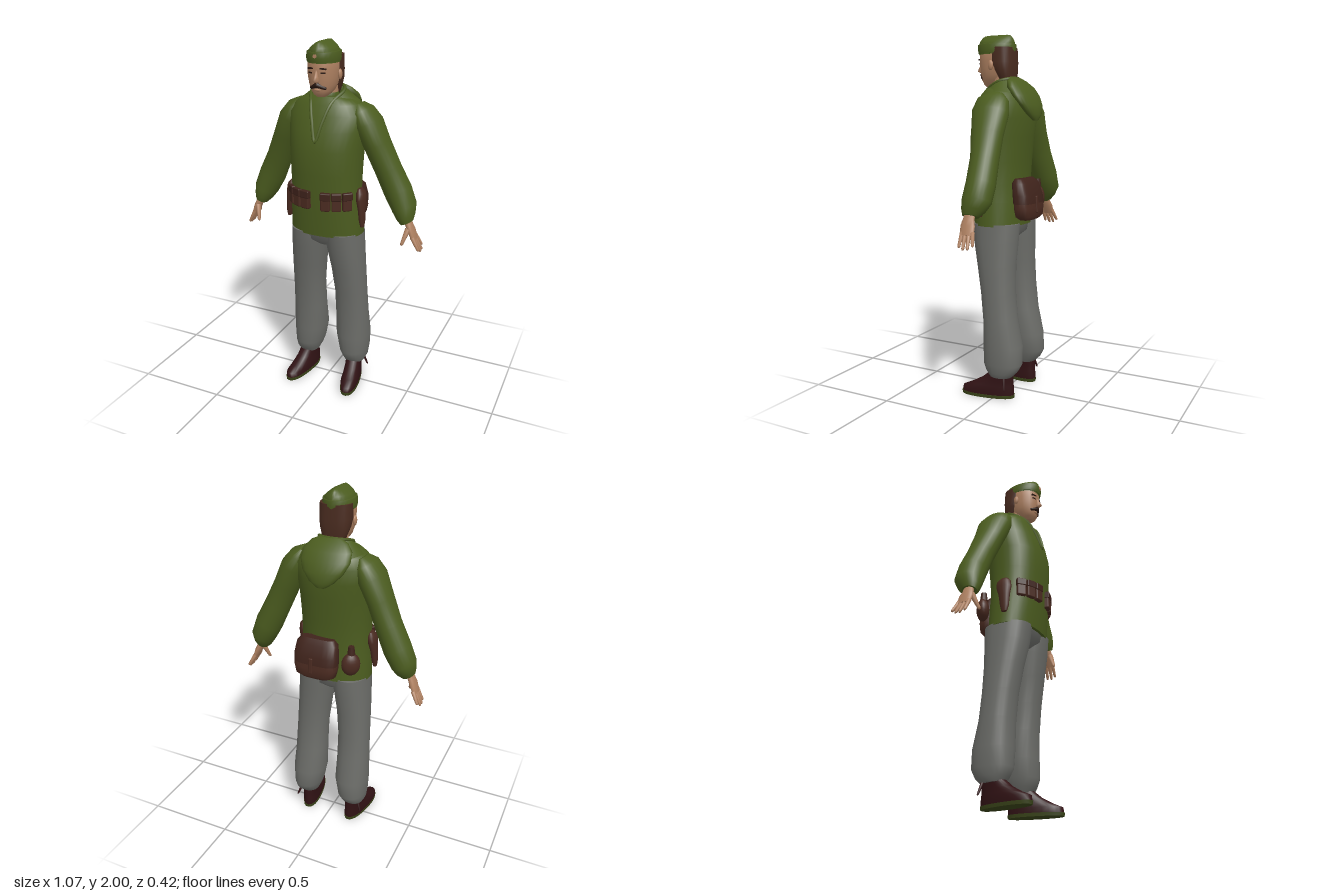
import * as THREE from 'three';
import { RoundedBoxGeometry } from 'three/addons/geometries/RoundedBoxGeometry.js';

const mat = (name, color, side = THREE.FrontSide) => {
  const m = new THREE.MeshStandardMaterial({ color, side });
  m.name = name;
  return m;
};
const V = (x, y, z) => new THREE.Vector3(x, y, z);

// Skin closed rows of points, listed from bottom to top; optional end caps
function skin(rows, caps = true) {
  const n = rows[0].length, pos = [], idx = [];
  rows.forEach(r => r.forEach(p => pos.push(p.x, p.y, p.z)));
  for (let i = 0; i < rows.length - 1; i++) {
    for (let j = 0; j < n; j++) {
      const a = i * n + j, b = i * n + (j + 1) % n;
      idx.push(a, a + n, b, b, a + n, b + n);
    }
  }
  if (caps) [rows[0], rows[rows.length - 1]].forEach((r, top) => {
    const base = pos.length / 3, c = V(0, 0, 0);
    r.forEach(p => { pos.push(p.x, p.y, p.z); c.addScaledVector(p, 1 / n); });
    pos.push(c.x, c.y, c.z);
    for (let j = 0; j < n; j++) {
      const a = base + j, b = base + (j + 1) % n;
      if (top) idx.push(base + n, b, a); else idx.push(base + n, a, b);
    }
  });
  const g = new THREE.BufferGeometry();
  g.setAttribute('position', new THREE.Float32BufferAttribute(pos, 3));
  g.setIndex(idx);
  g.computeVertexNormals();
  return g;
}

// Rings are [x, y, z, radius across, radius in z]; tilt leans them, p < 1 squares them
function loft(rings, { tilt = 0, p = 1, n = 24 } = {}) {
  const pw = v => Math.sign(v) * Math.pow(Math.abs(v), p);
  return skin(rings.map(([x, y, z, ru, rv]) => Array.from({ length: n }, (_, j) => {
    const a = j / n * Math.PI * 2, u = ru * pw(Math.cos(a));
    return V(x + u * Math.cos(tilt), y + u * Math.sin(tilt), z + rv * pw(Math.sin(a)));
  })));
}

// Tapered rod with a rounded tip from a to b
function rod(a, b, ra, rb) {
  const d = b.clone().sub(a), len = d.length();
  const prof = [[0, 0], [ra, 0], [rb, len * 0.88], [rb * 0.65, len * 0.97], [0, len]];
  const g = new THREE.LatheGeometry(prof.map(q => new THREE.Vector2(...q)), 8);
  g.applyQuaternion(new THREE.Quaternion().setFromUnitVectors(V(0, 1, 0), d.normalize()));
  return g.translate(a.x, a.y, a.z);
}

// Mirror a geometry in x and restore its winding
function mirror(geo) {
  const g = geo.index ? geo.toNonIndexed() : geo.clone();
  g.scale(-1, 1, 1);
  for (const k in g.attributes) {
    const { array: arr, itemSize: s } = g.attributes[k];
    for (let t = 0; t < arr.length; t += 3 * s) {
      for (let c = 0; c < s; c++) {
        const tmp = arr[t + c];
        arr[t + c] = arr[t + 2 * s + c];
        arr[t + 2 * s + c] = tmp;
      }
    }
  }
  return g;
}

export function createModel() {
  const root = new THREE.Group();
  root.name = 'soldier';
  const jacket = mat('jacketGreen', 0x4b5c1f, THREE.DoubleSide);
  const grey = mat('trouserGrey', 0x6c6d69);
  const leather = mat('leatherBrown', 0x4a2a20);
  const flapMat = mat('flapBrown', 0x3f231b);
  const bootMat = mat('bootMaroon', 0x301214);
  const soleMat = mat('soleGreen', 0x3a4419);
  const skinMat = mat('skin', 0xb08262);
  const hair = mat('hairBrown', 0x4a2c20);
  const dark = mat('whiskerBrown', 0x29170f);
  const add = (name, g, m) => {
    const mesh = new THREE.Mesh(g, m);
    mesh.name = name;
    root.add(mesh);
  };
  const pair = (name, g, m) => {
    add(name + 'Left', g, m);
    add(name + 'Right', mirror(g), m);
  };

  // Jacket body
  add('jacketBody', loft([
    [0, 0.97, 0.027, 0.208, 0.14], [0, 1.1, 0.035, 0.203, 0.145], [0, 1.2, 0.04, 0.195, 0.145],
    [0, 1.32, 0.04, 0.197, 0.155], [0, 1.45, 0.035, 0.203, 0.163], [0, 1.55, 0.018, 0.213, 0.157],
    [0, 1.63, 0.007, 0.218, 0.14], [0, 1.68, 0.008, 0.18, 0.117], [0, 1.705, 0.015, 0.14, 0.095],
    [0, 1.72, 0.025, 0.09, 0.072]], { p: 0.9, n: 32 }), jacket);

  // Sleeves
  pair('sleeve', loft([
    [0.447, 1.06, -0.018, 0.036, 0.045], [0.437, 1.09, -0.028, 0.053, 0.065],
    [0.422, 1.135, -0.04, 0.068, 0.08], [0.382, 1.22, -0.042, 0.077, 0.078],
    [0.325, 1.34, -0.032, 0.072, 0.077], [0.268, 1.47, -0.016, 0.07, 0.09],
    [0.218, 1.58, -0.008, 0.074, 0.105], [0.185, 1.645, -0.005, 0.055, 0.09],
    [0.165, 1.68, -0.005, 0.02, 0.05]], { tilt: 0.43 }), jacket);

  // Standing collar, its edge, and the folded hood
  const loop = pts => new THREE.CatmullRomCurve3(
    [...pts, ...pts.slice(1, -1).reverse().map(([x, y, z]) => [-x, y, z])].map(q => V(...q)), true);
  const base = loop([[0, 1.47, 0.185], [0.05, 1.58, 0.15], [0.12, 1.67, 0.1], [0.165, 1.69, -0.01],
    [0.1, 1.68, -0.11], [0, 1.67, -0.13]]);
  const rim = loop([[0, 1.5, 0.19], [0.03, 1.6, 0.16], [0.058, 1.69, 0.112], [0.09, 1.745, 0.02],
    [0.06, 1.762, -0.035], [0, 1.765, -0.05]]);
  // Listed top first because the loops run clockwise
  add('collar', skin([rim.getPoints(48).slice(0, 48), base.getPoints(48).slice(0, 48)], false), jacket);
  add('collarEdge', new THREE.TubeGeometry(rim, 64, 0.009, 6, true), jacket);
  add('hood', loft([
    [0, 1.54, -0.165, 0.025, 0.012], [0, 1.57, -0.158, 0.07, 0.03], [0, 1.62, -0.138, 0.115, 0.045],
    [0, 1.67, -0.108, 0.138, 0.052], [0, 1.715, -0.078, 0.133, 0.052], [0, 1.75, -0.053, 0.1, 0.036],
    [0, 1.768, -0.045, 0.06, 0.014]]), jacket);
  add('jumperNeck', loft([[0, 1.62, 0.03, 0.072, 0.068], [0, 1.72, 0.035, 0.067, 0.063],
    [0, 1.738, 0.036, 0.06, 0.056]]), jacket);

  // Trousers
  add('trouserSeat', loft([[0, 0.89, 0.02, 0.07, 0.07], [0, 0.93, 0.022, 0.17, 0.12],
    [0, 1.0, 0.025, 0.195, 0.133]]), grey);
  pair('trouserLeg', loft([
    [0.15, 0.125, -0.035, 0.058, 0.065], [0.15, 0.155, -0.04, 0.073, 0.09],
    [0.145, 0.2, -0.042, 0.083, 0.112], [0.138, 0.3, -0.04, 0.097, 0.11],
    [0.135, 0.45, -0.022, 0.093, 0.095], [0.132, 0.6, -0.007, 0.09, 0.096],
    [0.122, 0.75, 0.008, 0.094, 0.108], [0.108, 0.88, 0.018, 0.101, 0.126],
    [0.1, 0.98, 0.023, 0.103, 0.135]], { p: 0.9 }), grey);

  // Boots, toes turned out
  const foot = g => g.rotateY(0.17).translate(0.152, 0, 0);
  pair('boot', foot(loft([
    [0, 0.018, 0.045, 0.05, 0.152], [0, 0.045, 0.043, 0.051, 0.15], [0, 0.068, 0.018, 0.047, 0.122],
    [0, 0.1, -0.01, 0.044, 0.092], [0, 0.14, -0.033, 0.045, 0.067], [0, 0.175, -0.036, 0.047, 0.062]],
    { p: 0.85 })), bootMat);
  pair('sole', foot(loft([[0, 0, 0.045, 0.05, 0.153], [0, 0.018, 0.045, 0.052, 0.156]], { p: 0.85 })), soleMat);
  pair('bootTab', rod(V(0.19, 0.13, -0.07), V(0.215, 0.06, -0.085), 0.009, 0.005), bootMat);

  // Hands
  pair('palm', loft([[0.494, 0.968, -0.022, 0.012, 0.04], [0.476, 1.015, -0.018, 0.018, 0.042],
    [0.462, 1.045, -0.016, 0.019, 0.033], [0.445, 1.09, -0.018, 0.02, 0.027]], { tilt: 0.38, n: 12 }), skinMat);
  for (let i = 0; i < 4; i++) {
    const z = 0.008 - i * 0.02, drop = [0.01, 0, 0.003, 0.02][i];
    pair('finger' + (i + 1), rod(V(0.486, 0.985, z), V(0.531 - drop / 2, 0.9 + drop, z * 1.3 - 0.004), 0.012, 0.008), skinMat);
  }
  pair('thumb', rod(V(0.462, 1.03, 0.008), V(0.438, 0.943, 0.043), 0.016, 0.009), skinMat);

  // Head
  add('neck', loft([[0, 1.66, 0.028, 0.058, 0.055], [0, 1.79, 0.04, 0.058, 0.06]]), skinMat);
  add('head', loft([
    [0, 1.722, 0.1, 0.024, 0.03], [0, 1.735, 0.093, 0.042, 0.052], [0, 1.755, 0.082, 0.058, 0.071],
    [0, 1.785, 0.074, 0.07, 0.086], [0, 1.82, 0.072, 0.077, 0.093], [0, 1.86, 0.07, 0.08, 0.098],
    [0, 1.9, 0.068, 0.081, 0.1], [0, 1.94, 0.068, 0.07, 0.09]], { p: 0.92 }), skinMat);
  add('hair', loft([
    [0, 1.725, -0.002, 0.05, 0.028], [0, 1.77, 0.002, 0.068, 0.04], [0, 1.81, 0.014, 0.08, 0.054],
    [0, 1.85, 0.025, 0.085, 0.067], [0, 1.93, 0.03, 0.084, 0.068]], { p: 0.75 }), hair);
  pair('ear', new THREE.SphereGeometry(1, 10, 8).scale(0.01, 0.027, 0.016).translate(0.086, 1.835, 0.064), skinMat);
  add('nose', loft([[0, 1.8, 0.162, 0.01, 0.012], [0, 1.81, 0.168, 0.018, 0.024],
    [0, 1.83, 0.164, 0.011, 0.018], [0, 1.862, 0.158, 0.007, 0.01]], { n: 10 }), skinMat);
  pair('moustache', rod(V(-0.002, 1.79, 0.16), V(0.044, 1.768, 0.138), 0.015, 0.009), dark);
  add('lowerLip', new THREE.SphereGeometry(1, 10, 6).scale(0.02, 0.007, 0.01).translate(0, 1.762, 0.151), skinMat);
  pair('eye', new THREE.BoxGeometry(0.024, 0.007, 0.008).rotateY(0.3).translate(0.033, 1.848, 0.157), dark);
  pair('eyebrow', new THREE.BoxGeometry(0.034, 0.008, 0.009).rotateZ(-0.1).rotateY(0.3).translate(0.034, 1.87, 0.159), dark);

  // Folded cap with turned-up band and badge
  add('cap', loft([
    [0, 1.895, 0.069, 0.083, 0.103], [0, 1.945, 0.07, 0.08, 0.107], [0, 1.968, 0.07, 0.061, 0.102],
    [0, 1.988, 0.068, 0.034, 0.09], [0, 1.997, 0.066, 0.015, 0.078], [0, 2, 0.066, 0.004, 0.06]]), jacket);
  add('capBand', loft([[0, 1.9, 0.069, 0.085, 0.107], [0, 1.92, 0.07, 0.087, 0.111],
    [0, 1.948, 0.07, 0.083, 0.111], [0, 1.951, 0.07, 0.078, 0.105]]), jacket);
  add('capBadge', new THREE.CylinderGeometry(0.011, 0.011, 0.006, 5).rotateX(Math.PI / 2).translate(0, 1.932, 0.182), skinMat);

  // Front pouches, wrapped around the waist
  [1.28, 0.98, 0.66].forEach((a, i) => {
    const turn = Math.atan2(Math.cos(a) / 0.197, Math.sin(a) / 0.145);
    const place = g => g.rotateY(turn).translate(0.197 * Math.cos(a), 1.18, 0.04 + 0.145 * Math.sin(a));
    pair('pouch' + (i + 1), place(new RoundedBoxGeometry(0.052, 0.1, 0.036, 2, 0.008).translate(0, 0, 0.004)), leather);
    pair('pouchFlap' + (i + 1), place(new RoundedBoxGeometry(0.056, 0.042, 0.04, 2, 0.006).translate(0, 0.031, 0.005)), flapMat);
  });

  // Side holsters
  pair('holster', loft([
    [0.221, 1.025, 0.062, 0.01, 0.016], [0.219, 1.06, 0.062, 0.016, 0.026], [0.214, 1.13, 0.058, 0.02, 0.034],
    [0.208, 1.18, 0.052, 0.025, 0.046], [0.205, 1.215, 0.05, 0.024, 0.042], [0.2, 1.238, 0.05, 0.01, 0.022]],
    { n: 16 }), leather);

  // Rear pack with flap and strap
  add('pack', loft([
    [0.04, 1.005, -0.15, 0.08, 0.032], [0.04, 1.025, -0.15, 0.115, 0.048], [0.04, 1.07, -0.148, 0.125, 0.052],
    [0.04, 1.14, -0.14, 0.122, 0.048], [0.04, 1.2, -0.125, 0.113, 0.04], [0.04, 1.222, -0.118, 0.095, 0.024]],
    { p: 0.65 }), leather);
  add('packFlap', loft([[0.04, 1.095, -0.146, 0.126, 0.054], [0.04, 1.14, -0.141, 0.126, 0.053],
    [0.04, 1.203, -0.126, 0.117, 0.044], [0.04, 1.228, -0.118, 0.095, 0.025]], { p: 0.65 }), flapMat);
  add('packStrap', new RoundedBoxGeometry(0.022, 0.09, 0.012, 2, 0.004).rotateX(0.06).translate(0.05, 1.09, -0.2), leather);

  // Canteen
  add('canteen', new THREE.SphereGeometry(1, 18, 12).scale(0.052, 0.066, 0.036).rotateY(0.6).translate(-0.15, 1.105, -0.115), leather);
  add('canteenNeck', new THREE.CylinderGeometry(0.016, 0.022, 0.05, 12).translate(-0.15, 1.185, -0.11), flapMat);

  return root;
}
